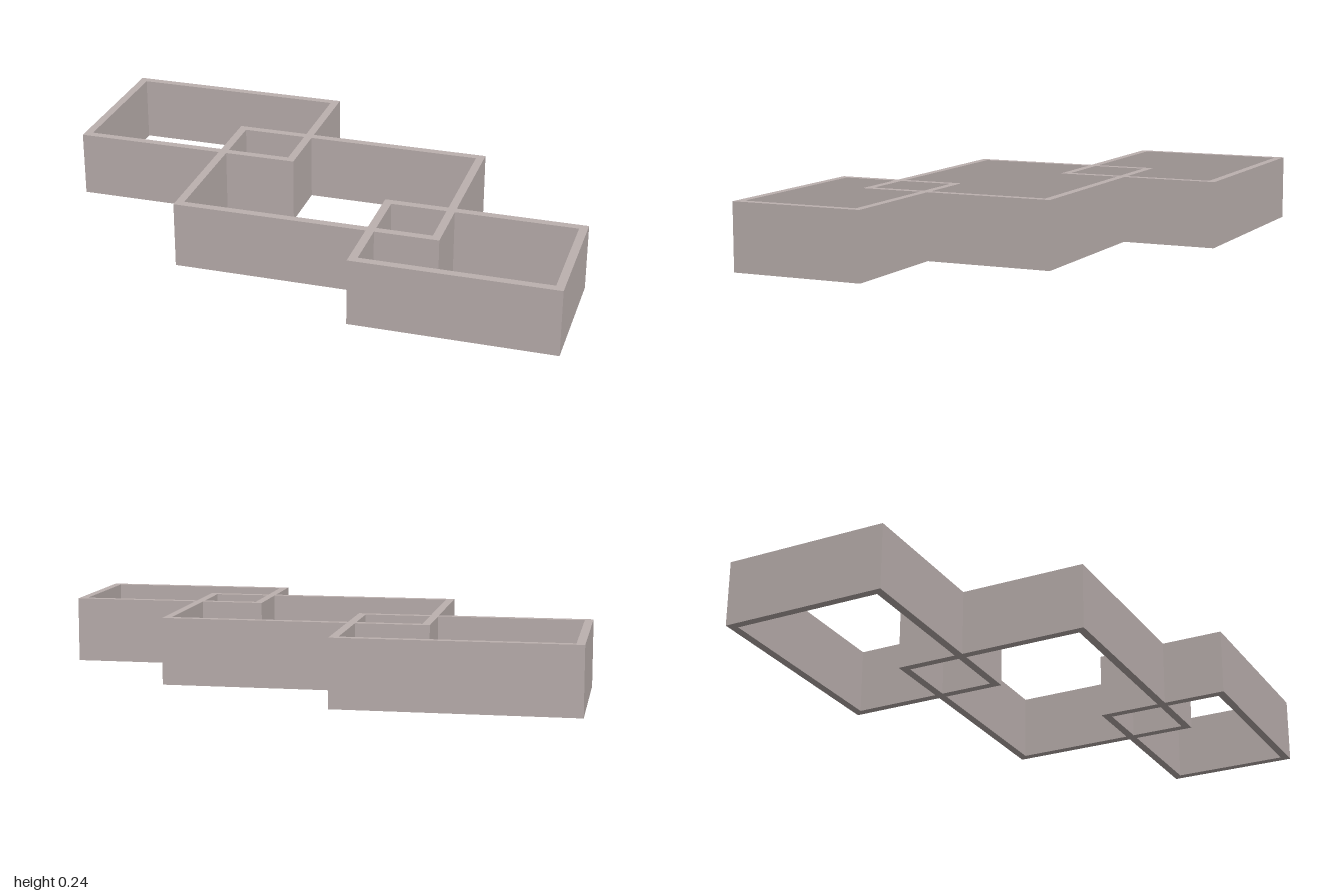
import * as THREE from 'three';

const HEIGHT = 0.244;
const WALL = 0.03;

// Open rectangular wall ring between plan corners (x0, z0) and (x1, z1)
function wallRing(name, x0, x1, z0, z1, material) {
  const rect = (Type, inset) => new Type([
    new THREE.Vector2(x0 + inset, -z1 + inset),
    new THREE.Vector2(x1 - inset, -z1 + inset),
    new THREE.Vector2(x1 - inset, -z0 - inset),
    new THREE.Vector2(x0 + inset, -z0 - inset),
  ]);
  const shape = rect(THREE.Shape, 0);
  shape.holes.push(rect(THREE.Path, WALL));
  const geometry = new THREE.ExtrudeGeometry(shape, { depth: HEIGHT, bevelEnabled: false });
  geometry.rotateX(-Math.PI / 2);
  const mesh = new THREE.Mesh(geometry, material);
  mesh.name = name;
  return mesh;
}

export function createModel() {
  const group = new THREE.Group();
  group.name = 'interlockingWalls';
  const wallGrey = new THREE.MeshStandardMaterial({ color: 0xbcb1af });
  wallGrey.name = 'warm grey';

  // Three overlapping rooms stepping diagonally from back to front
  group.add(
    wallRing('backRoomWalls', -1, -0.147, -0.656, -0.046, wallGrey),
    wallRing('middleRoomWalls', -0.443, 0.529, -0.304, 0.424, wallGrey),
    wallRing('frontRoomWalls', 0.267, 1, 0.165, 0.656, wallGrey),
  );
  return group;
}
